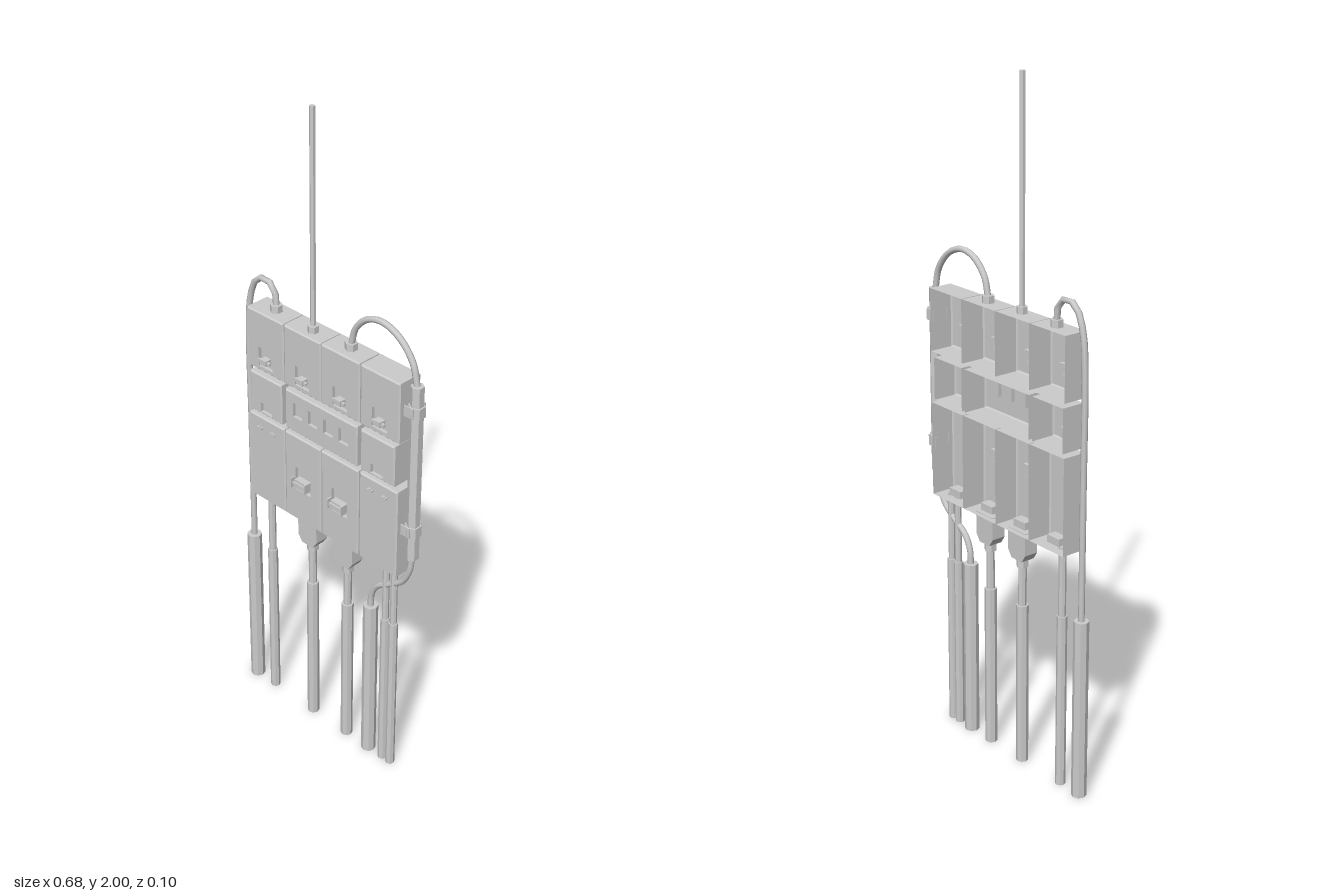
import * as THREE from 'three';

const mat = new THREE.MeshStandardMaterial({ color: 0xcccccc, flatShading: true, side: THREE.DoubleSide });
const smooth = new THREE.MeshStandardMaterial({ color: 0xcccccc });
const BACK = -0.05, FRONT = 0.026, CABLE_Z = -0.013;

function add(parent, name, geometry, x = 0, y = 0, z = 0, material = mat) {
  const mesh = new THREE.Mesh(geometry, material);
  mesh.name = name;
  mesh.position.set(x, y, z);
  parent.add(mesh);
  return mesh;
}
const box = (parent, name, w, h, d, x, y, z) => add(parent, name, new THREE.BoxGeometry(w, h, d), x, y, z);
// Upright prism between two heights
const rod = (parent, name, r, y0, y1, x, z = CABLE_Z, sides = 6) =>
  add(parent, name, new THREE.CylinderGeometry(r, r, y1 - y0, sides), x, (y0 + y1) / 2, z);
const cable = (parent, name, points, r) => add(parent, name,
  new THREE.TubeGeometry(new THREE.CatmullRomCurve3(points.map(([x, y]) => new THREE.Vector3(x, y, CABLE_Z))), 28, r, 8),
  0, 0, 0, smooth);

// Open skin through rectangular rings [halfWidth, halfHeight, z]
function skin(rings) {
  const pos = [], index = [];
  for (const [w, h, z] of rings) pos.push(-w, -h, z, w, -h, z, w, h, z, -w, h, z);
  for (let r = 0; r < rings.length - 1; r++) {
    for (let i = 0; i < 4; i++) {
      const a = r * 4 + i, b = r * 4 + (i + 1) % 4;
      index.push(a, b, b + 4, a, b + 4, a + 4);
    }
  }
  const g = new THREE.BufferGeometry();
  g.setAttribute('position', new THREE.Float32BufferAttribute(pos, 3));
  g.setIndex(index);
  g.computeVertexNormals();
  return g;
}

// Hollow cover, open at the back, with sunken pockets [x, y, width, height] in its face
function cover(parent, name, x0, x1, y0, y1, pockets = []) {
  const g = new THREE.Group();
  g.name = name;
  const cx = (x0 + x1) / 2, cy = (y0 + y1) / 2, w = (x1 - x0) / 2, h = (y1 - y0) / 2, e = 0.004;
  g.position.set(cx, cy, 0);
  add(g, 'coverWalls', skin([[w, h, BACK], [w, h, FRONT - e], [w - e, h - e, FRONT]]));
  const rect = (path, x, y, a, b) => path.moveTo(x - a, y - b).lineTo(x + a, y - b).lineTo(x + a, y + b).lineTo(x - a, y + b).closePath();
  const face = rect(new THREE.Shape(), 0, 0, w - e, h - e);
  for (const [px, py, pw, ph] of pockets) {
    const x = px - cx, y = py - cy, depth = FRONT - 0.01;
    face.holes.push(rect(new THREE.Path(), x, y, pw / 2, ph / 2));
    add(g, 'pocketWalls', skin([[pw / 2, ph / 2, depth], [pw / 2, ph / 2, FRONT]]), x, y);
    add(g, 'pocketFloor', new THREE.PlaneGeometry(pw, ph), x, y, depth);
  }
  add(g, 'coverFace', new THREE.ShapeGeometry(face), 0, 0, FRONT);
  parent.add(g);
}

export function createModel() {
  const model = new THREE.Group();
  model.name = 'cableCabinet';

  // Four columns of covers, with a wide one in the middle row
  const columns = [[-0.286, -0.145], [-0.142, -0.001], [0.002, 0.144], [0.148, 0.289]];
  columns.forEach(([x0, x1], i) => {
    const c = (x0 + x1) / 2, outer = i === 0 || i === 3;
    cover(model, 'upperCover', x0, x1, 1.17, 1.355, [[c, 1.215, 0.055, 0.06]]);
    cover(model, 'lowerCover', x0, x1, 0.733, 1.016, outer ? [] : [[c, 0.875, 0.06, 0.075]]);

    // Upper latch in its pocket
    box(model, 'latchBody', 0.024, 0.016, 0.024, c, 1.208, 0.025);
    box(model, 'latchTab', 0.044, 0.008, 0.008, c, 1.208, 0.03);

    if (outer) {
      for (const s of [-1, 1]) {
        box(model, 'lowerClip', 0.018, 0.006, 0.008, c + s * 0.026, 0.98, 0.029);
        box(model, 'clipTip', 0.006, 0.012, 0.008, c + s * 0.026, 0.98, 0.029);
      }
    } else {
      // Pull handle
      box(model, 'handleBase', 0.046, 0.028, 0.022, c, 0.865, 0.026);
      box(model, 'handleBar', 0.056, 0.01, 0.005, c, 0.868, 0.041);
      for (const s of [-1, 1]) box(model, 'handleEnd', 0.004, 0.03, 0.016, c + s * 0.027, 0.87, 0.04);
    }
    // Terminal block inside the bottom
    box(model, 'terminal', 0.05, 0.022, 0.03, c, 0.75, -0.01);
  });
  cover(model, 'middleCoverRight', -0.28, -0.155, 1.027, 1.155, [[-0.217, 1.05, 0.045, 0.03]]);
  cover(model, 'middleCoverWide', -0.14, 0.137, 1.027, 1.155,
    [-0.09, -0.032, 0.028, 0.086].map((x) => [x, 1.1, 0.036, 0.045]));
  cover(model, 'middleCoverLeft', 0.15, 0.275, 1.027, 1.155, [[0.212, 1.05, 0.045, 0.03]]);

  // Antenna and top fittings
  rod(model, 'antenna', 0.008, 1.355, 2, -0.06, -0.006);
  rod(model, 'antennaNut', 0.016, 1.35, 1.375, -0.06, -0.006);
  for (const x of [-0.21, 0.076]) rod(model, 'cableNut', 0.018, 1.35, 1.376, x);

  // Looping cables at the sides
  cable(model, 'rightCable', [[-0.21, 1.37], [-0.216, 1.415], [-0.25, 1.44], [-0.29, 1.42], [-0.314, 1.36],
    [-0.323, 1.26], [-0.323, 0.95], [-0.323, 0.54]], 0.009);
  cable(model, 'leftCable', [[0.076, 1.37], [0.092, 1.425], [0.135, 1.468], [0.19, 1.481], [0.25, 1.458],
    [0.296, 1.405], [0.313, 1.34]], 0.009);
  cable(model, 'leftLowerCable', [[0.313, 0.8], [0.306, 0.745], [0.28, 0.695], [0.235, 0.66], [0.185, 0.625],
    [0.165, 0.585], [0.162, 0.54]], 0.009);
  rod(model, 'sideTube', 0.019, 0.795, 1.345, 0.314);
  for (const y of [1.27, 0.89]) {
    for (const z of [-0.037, 0.008]) box(model, 'tubeClampArm', 0.035, 0.032, 0.004, 0.304, y, z);
    add(model, 'tubeClamp', new THREE.CylinderGeometry(0.024, 0.024, 0.032, 6), 0.314, y, CABLE_Z);
  }

  // Hanging sheathed cables: [x, sheath radius, sheath top, core radius, core top]
  for (const [x, r, top, core, coreTop] of [
    [-0.323, 0.022, 0.545], [0.162, 0.022, 0.545],
    [-0.243, 0.015, 0.53, 0.011, 0.74], [0.22, 0.014, 0.53, 0.01, 0.74], [0.251, 0.014, 0.53, 0.01, 0.74],
    [-0.073, 0.018, 0.5, 0.012, 0.63], [0.07, 0.018, 0.5, 0.012, 0.63]]) {
    rod(model, 'cableSheath', r, 0, top, x, CABLE_Z, 8);
    if (core) rod(model, 'cableCore', core, top - 0.01, coreTop, x, CABLE_Z, 8);
  }

  // Tapered plugs under the two middle columns
  const plug = new THREE.Shape([[-0.037, 0.735], [-0.037, 0.668], [-0.022, 0.645], [0.022, 0.645], [0.037, 0.668],
    [0.037, 0.735]].map(([x, y]) => new THREE.Vector2(x, y)));
  for (const x of [-0.073, 0.07]) {
    add(model, 'plug', new THREE.ExtrudeGeometry(plug, { depth: 0.044, bevelEnabled: false }), x, 0, CABLE_Z - 0.022);
    rod(model, 'plugCollar', 0.018, 0.62, 0.646, x);
  }
  return model;
}
